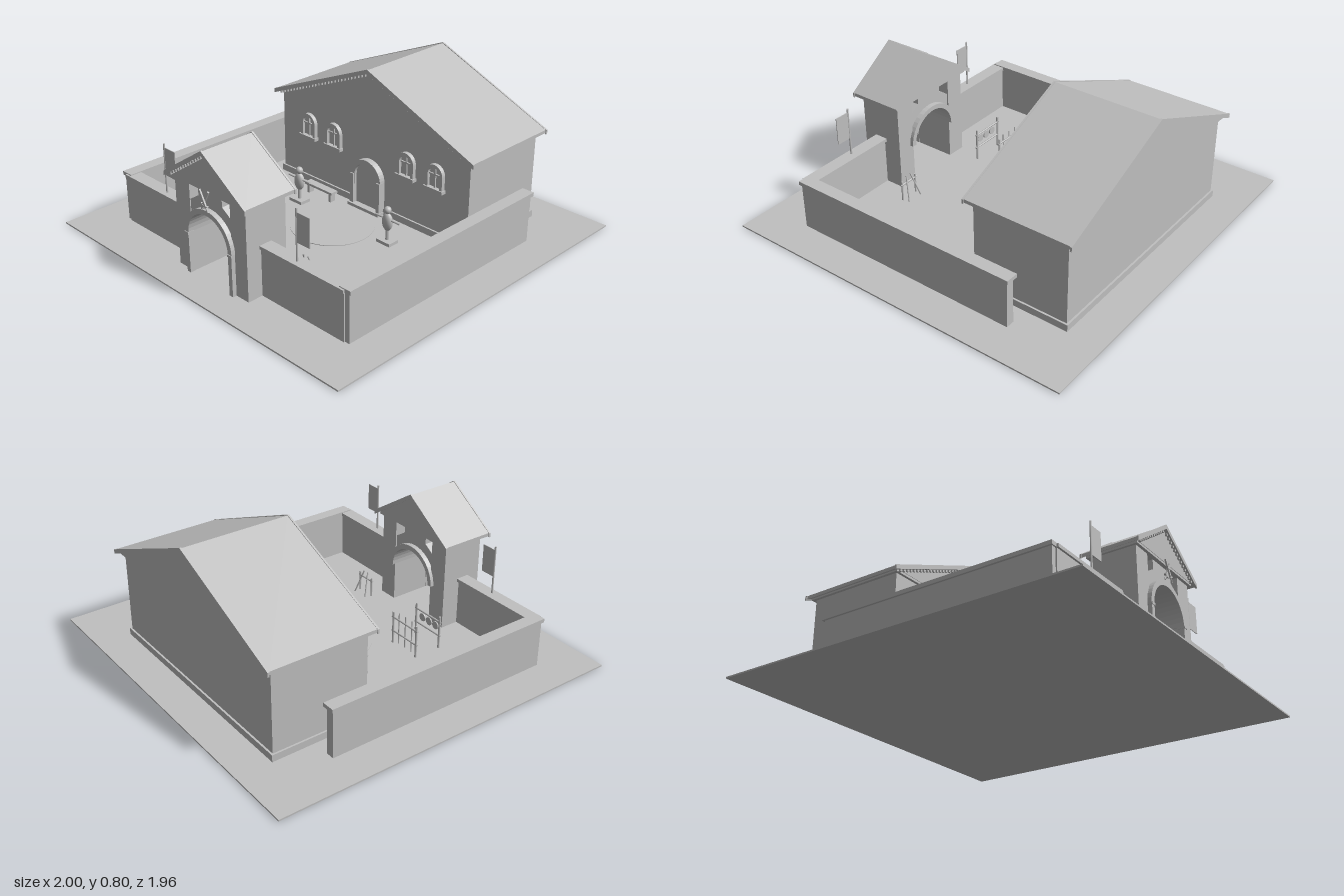
import * as THREE from 'three';

const stone = new THREE.MeshStandardMaterial({ color: 0xc0c0c0 });
stone.name = 'stone grey';

function add(parent, name, geometry, x = 0, y = 0, z = 0) {
  const mesh = new THREE.Mesh(geometry, stone);
  mesh.name = name;
  mesh.position.set(x, y, z);
  parent.add(mesh);
  return mesh;
}

// Box given by its extents
function box(parent, name, x0, x1, y0, y1, z0, z1) {
  return add(parent, name, new THREE.BoxGeometry(x1 - x0, y1 - y0, z1 - z0),
    (x0 + x1) / 2, (y0 + y1) / 2, (z0 + z1) / 2);
}

function prism(parent, name, points, z0, z1) {
  const shape = new THREE.Shape(points.map(([x, y]) => new THREE.Vector2(x, y)));
  return add(parent, name, new THREE.ExtrudeGeometry(shape, { depth: z1 - z0, bevelEnabled: false }), 0, 0, z0);
}

// Upright rod between two points
function rod(parent, name, a, b, r) {
  const p = new THREE.Vector3(...a), q = new THREE.Vector3(...b);
  const mesh = add(parent, name, new THREE.CylinderGeometry(r, r, p.distanceTo(q), 8));
  mesh.position.copy(p).add(q).multiplyScalar(0.5);
  mesh.quaternion.setFromUnitVectors(new THREE.Vector3(0, 1, 0), q.sub(p).normalize());
  return mesh;
}

function arcPoints(r, cx, cy, from, to, n = 20) {
  return Array.from({ length: n + 1 }, (_, i) => {
    const a = from + (to - from) * i / n;
    return [cx + r * Math.cos(a), cy + r * Math.sin(a)];
  });
}

// Arched band with straight legs; inner = 0 gives a solid panel
function arch(parent, name, cx, y0, spring, outer, inner, z0, z1) {
  const points = [[cx + outer, y0], ...arcPoints(outer, cx, spring, 0, Math.PI), [cx - outer, y0]];
  if (inner) points.push([cx - inner, y0], ...arcPoints(inner, cx, spring, Math.PI, 0), [cx + inner, y0]);
  return prism(parent, name, points, z0, z1);
}

// Gabled roof: pitched slab, recessed gable, raking trims, cornice and dentils
function roof(parent, half, eave, apex, z0, z1, wallHalf, dentils) {
  const group = new THREE.Group();
  group.name = 'roof';
  parent.add(group);
  const t = 0.018, trim = 0.01;
  const chevron = (h, top, thick) => [[-h, eave], [0, top], [h, eave], [h, eave - thick], [0, top - thick], [-h, eave - thick]].reverse();
  prism(group, 'roofSlab', chevron(half - 0.004, apex - 0.004, t), z0 + trim, z1 - trim);
  prism(group, 'frontRake', chevron(half, apex, t + 0.006), z1 - trim, z1);
  prism(group, 'backRake', chevron(half, apex, t + 0.006), z0, z0 + trim);
  const inner = half - 0.02;
  prism(group, 'gable', [[-inner, eave - 0.006], [inner, eave - 0.006], [0, apex - t]], z0 + 0.018, z1 - 0.018);
  box(group, 'cornice', -wallHalf - 0.015, wallHalf + 0.015, eave - 0.018, eave - 0.003, z0 + 0.02, z1 - 0.02);
  const slope = (apex - eave) / half;
  for (const side of [-1, 1]) {
    for (let i = 1; i < dentils; i++) {
      const x = side * inner * i / dentils;
      const y = apex - t - 0.01 - slope * Math.abs(x);
      box(group, 'dentil', x - 0.005, x + 0.005, y - 0.008, y + 0.004, z1 - 0.02, z1 - 0.008);
    }
  }
}

function makeHall() {
  const hall = new THREE.Group();
  hall.name = 'hall';
  box(hall, 'hallWalls', -0.66, 0.66, 0, 0.49, -0.78, -0.257);
  box(hall, 'plinth', -0.67, 0.67, 0, 0.045, -0.79, -0.247);
  roof(hall, 0.7, 0.505, 0.8, -0.82, -0.223, 0.66, 28);

  // Arched windows with frame, bars and sill
  for (const x of [-0.45, -0.26, 0.26, 0.45]) {
    arch(hall, 'windowPane', x, 0.29, 0.365, 0.04, 0, -0.258, -0.252);
    arch(hall, 'windowFrame', x, 0.29, 0.365, 0.055, 0.038, -0.258, -0.235);
    box(hall, 'windowMullion', x - 0.004, x + 0.004, 0.29, 0.404, -0.258, -0.244);
    box(hall, 'windowBar', x - 0.04, x + 0.04, 0.358, 0.366, -0.258, -0.244);
    box(hall, 'windowSill', x - 0.062, x + 0.062, 0.275, 0.292, -0.258, -0.228);
  }

  // Arched door
  arch(hall, 'doorPanel', 0, 0.02, 0.19, 0.082, 0, -0.258, -0.24);
  arch(hall, 'doorSurround', 0, 0.02, 0.19, 0.105, 0.08, -0.258, -0.222);
  for (const s of [-1, 1]) box(hall, 'doorJamb', s * 0.094 - 0.012, s * 0.094 + 0.012, 0.02, 0.195, -0.258, -0.215);
  box(hall, 'doorStep', -0.11, 0.11, 0, 0.025, -0.25, -0.203);
  return hall;
}

function makeGate() {
  const gate = new THREE.Group();
  gate.name = 'gatehouse';
  for (const s of [-1, 1]) {
    box(gate, 'gatePillar', s * 0.199 - 0.053, s * 0.199 + 0.053, 0, 0.49, 0.572, 0.81);
    box(gate, 'gatePilaster', s * 0.156 - 0.012, s * 0.156 + 0.012, 0, 0.218, 0.8, 0.832);
    box(gate, 'gateImpost', s * 0.156 - 0.014, s * 0.156 + 0.014, 0.216, 0.228, 0.8, 0.836);
  }
  // Masonry over the arch, open at the upper corners
  prism(gate, 'spandrel', [[0.146, 0.225], [0.146, 0.395], [0.085, 0.435], [0.085, 0.49], [-0.085, 0.49],
    [-0.085, 0.435], [-0.146, 0.395], [-0.146, 0.225], ...arcPoints(0.144, 0, 0.225, Math.PI, 0)], 0.58, 0.805);
  arch(gate, 'frontArchBand', 0, 0.225, 0.225, 0.17, 0.144, 0.8, 0.832);
  arch(gate, 'backArchBand', 0, 0.225, 0.225, 0.17, 0.144, 0.553, 0.585);
  roof(gate, 0.29, 0.505, 0.7, 0.535, 0.845, 0.25, 14);

  // Crossed blades above the arch
  for (const s of [-1, 1]) {
    const blade = new THREE.Group();
    blade.name = 'crossedBlade';
    blade.position.set(0, 0.45, 0.838 + s * 0.004);
    blade.rotation.z = s * 0.5;
    box(blade, 'blade', -0.005, 0.005, -0.03, 0.058, -0.004, 0.004);
    box(blade, 'guard', -0.014, 0.014, -0.034, -0.028, -0.005, 0.005);
    rod(blade, 'grip', [0, -0.058, 0], [0, -0.03, 0], 0.004);
    gate.add(blade);
  }
  return gate;
}

function makeWalls() {
  const walls = new THREE.Group();
  walls.name = 'courtyardWalls';
  for (const s of [-1, 1]) {
    box(walls, 'sideWall', s * 0.783 - 0.023, s * 0.783 + 0.023, 0, 0.262, -0.558, 0.718);
    box(walls, 'sideWallCap', s * 0.783 - 0.034, s * 0.783 + 0.034, 0.26, 0.28, -0.57, 0.725);
    box(walls, 'frontWall', s * 0.515 - 0.265, s * 0.515 + 0.265, 0, 0.262, 0.675, 0.725);
    box(walls, 'frontWallCap', s * 0.515 - 0.268, s * 0.515 + 0.268, 0.258, 0.275, 0.662, 0.735);
    rod(walls, 'flagPole', [s * 0.47, 0.27, 0.705], [s * 0.47, 0.54, 0.705], 0.005);
    box(walls, 'flag', s * 0.47, s * 0.47 + 0.083, 0.37, 0.52, 0.703, 0.707);
  }
  return walls;
}

// Practice figure on a pedestal
function makeDummy(x) {
  const dummy = new THREE.Group();
  dummy.name = 'practiceFigure';
  dummy.position.set(x, 0, -0.048);
  box(dummy, 'pedestal', -0.045, 0.045, 0, 0.025, -0.033, 0.033);
  rod(dummy, 'post', [0, 0.02, 0], [0, 0.18, 0], 0.009);
  add(dummy, 'torso', new THREE.SphereGeometry(1, 16, 12), 0, 0.125, 0).scale.set(0.031, 0.05, 0.023);
  add(dummy, 'head', new THREE.SphereGeometry(0.02, 16, 12), 0, 0.19, 0);
  rod(dummy, 'arms', [-0.08, 0.14, 0], [0.08, 0.14, 0], 0.005);
  return dummy;
}

// Two-post rack with rails and hanging gear
function makeRack(z, shields) {
  const rack = new THREE.Group();
  rack.name = 'equipmentRack';
  rack.position.set(-0.3, 0, z);
  for (const x of [-0.09, 0.09]) rod(rack, 'rackPost', [x, 0, 0], [x, 0.19, 0], 0.006);
  for (const y of [0.08, 0.16]) rod(rack, 'rackRail', [-0.1, y, 0], [0.1, y, 0], 0.005);
  for (const x of [-0.05, 0, 0.05]) {
    if (shields) add(rack, 'shield', new THREE.CylinderGeometry(0.022, 0.022, 0.006, 16), x, 0.12, 0.008).rotation.x = Math.PI / 2;
    else rod(rack, 'spear', [x, 0.02, 0.004], [x, 0.2, 0.004], 0.0035);
  }
  return rack;
}

export function createModel() {
  const model = new THREE.Group();
  model.name = 'walledCourtyard';
  box(model, 'ground', -1, 1, 0, 0.008, -0.98, 0.98);
  add(model, 'courtyardRing', new THREE.CylinderGeometry(0.22, 0.22, 0.004, 40), 0, 0.009, 0.02);
  model.add(makeHall(), makeGate(), makeWalls(), makeDummy(-0.32), makeDummy(0.32),
    makeRack(0.272, false), makeRack(0.427, true));

  // Bench
  box(model, 'benchSeat', -0.38, -0.175, 0.055, 0.068, -0.19, -0.145);
  for (const x of [-0.36, -0.195]) box(model, 'benchLeg', x - 0.008, x + 0.008, 0, 0.056, -0.185, -0.15);

  // Leaning staves on a small stand
  rod(model, 'standRail', [0.23, 0.1, 0.485], [0.35, 0.1, 0.485], 0.005);
  for (const s of [-1, 1]) {
    rod(model, 'standPost', [0.29 + s * 0.05, 0, 0.485], [0.29 + s * 0.05, 0.12, 0.485], 0.005);
    rod(model, 'leaningStaff', [0.29 + s * 0.045, 0.01, 0.445], [0.29 + s * 0.015, 0.14, 0.485], 0.004);
  }
  return model;
}
